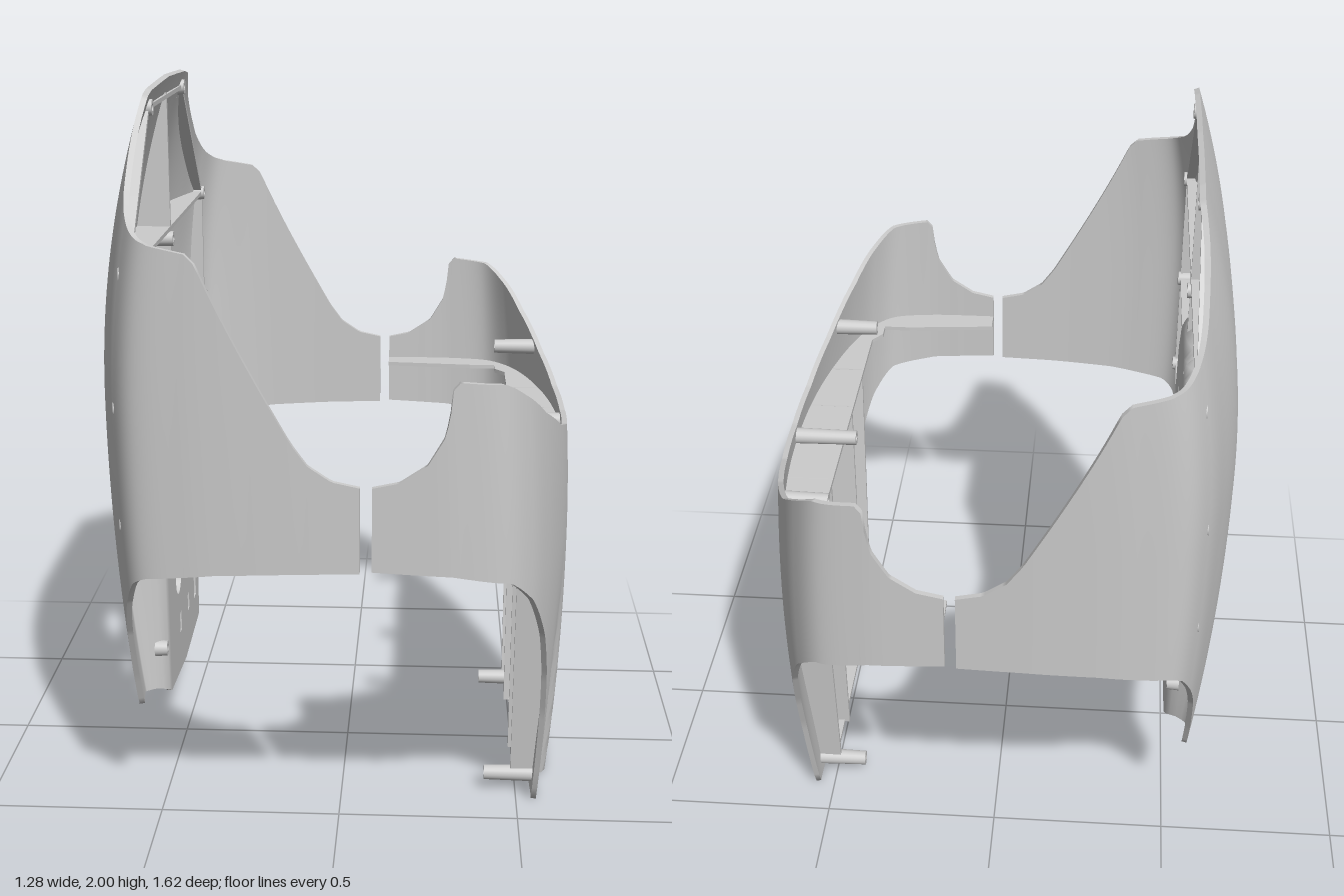
import * as THREE from 'three';
import { mergeGeometries } from 'three/addons/utils/BufferGeometryUtils.js';
import { ParametricGeometry } from 'three/addons/geometries/ParametricGeometry.js';

const WALL = 0.015;
const material = new THREE.MeshStandardMaterial({ color: 0xcccccc, side: THREE.DoubleSide });
const { clamp, lerp, smoothstep } = THREE.MathUtils;

// Straight-line lookup in a short table of [key, value] pairs
function table(pairs, k) {
  if (k <= pairs[0][0]) return pairs[0][1];
  for (let i = 1; i < pairs.length; i++) {
    const [a, va] = pairs[i - 1], [b, vb] = pairs[i];
    if (k <= b) return lerp(va, vb, (k - a) / (b - a));
  }
  return pairs[pairs.length - 1][1];
}

// Symmetric plan curve from a half outline of [x, z] points, centre first
function planCurve(half) {
  const left = half.map(([x, z]) => new THREE.Vector3(x, 0, z));
  const right = half.slice(1).reverse().map(([x, z]) => new THREE.Vector3(x, 0, -z));
  return new THREE.CatmullRomCurve3([...right, ...left]);
}

// A shell: plan curve, bulge by height, relief rule, and trims along z (face) and x (sides)
class Shell {
  constructor(o) {
    Object.assign(this, o);
    this.curve = planCurve(o.half);
    [this.mid] = o.half[0];
    [this.end] = o.half[o.half.length - 1];
  }
  point(t, y) {
    const c = this.curve.getPoint(clamp(t, 0, 1));
    const k = (this.bulge(y) - this.end) / (this.mid - this.end);
    c.x = this.relief(this.end + (c.x - this.end) * k, y, Math.abs(c.z));
    c.y = y;
    return c;
  }
  inner(t, y) {
    const e = 1e-3, t0 = Math.max(t - e, 0), t1 = Math.min(t + e, 1);
    const n = this.point(t, y + e).sub(this.point(t, y - e))
      .cross(this.point(t1, y).sub(this.point(t0, y))).normalize();
    return this.point(t, y).addScaledVector(n, -this.side * WALL);
  }
  trim(t, edge) {
    const c = this.curve.getPoint(clamp(t, 0, 1)), z = Math.abs(c.z);
    return z < this.corner ? table(edge.face, z) : table(edge.flank, c.x);
  }
  // Curve parameter and wall x at a given z on the face
  tAt(z) {
    let a = 0, b = 1;
    for (let i = 0; i < 40; i++) {
      const m = (a + b) / 2;
      if (this.curve.getPoint(m).z < z) a = m; else b = m;
    }
    return a;
  }
  xAt(z, y) { return this.point(this.tAt(z), y).x - this.side * WALL * 0.5; }
  // Thick wall between two curve parameters
  wall(t0, t1, cols, rows, bottom = t => this.trim(t, this.bottom)) {
    const at = (u, v) => {
      const t = lerp(t0, t1, u);
      return [t, lerp(bottom(t), this.trim(t, this.top), v)];
    };
    const sheet = (fn, a, b) => new ParametricGeometry((u, v, p) => p.copy(fn(u, v)), a, b);
    const out = (u, v) => this.point(...at(u, v)), inn = (u, v) => this.inner(...at(u, v));
    const parts = [sheet(out, cols, rows), sheet((u, v) => inn(1 - u, v), cols, rows)];
    for (const e of [0, 1]) {
      parts.push(sheet((u, v) => out(u, e).lerp(inn(u, e), v), cols, 1));
      parts.push(sheet((u, v) => out(e, u).lerp(inn(e, u), v), rows, 1));
    }
    return mergeGeometries(parts);
  }
  // Upright plate from the wall to plane xIn, along a line [z, y] to [z, y]
  rib([za, ya], [zb, yb], xIn, thick = 0.012) {
    const n = 20, len = Math.hypot(zb - za, yb - ya), pos = [], idx = [];
    const nz = -(yb - ya) / len * thick / 2, ny = (zb - za) / len * thick / 2;
    for (let i = 0; i <= n; i++) {
      const z = lerp(za, zb, i / n), y = lerp(ya, yb, i / n);
      const xw = this.xAt(z, y), xi = this.side > 0 ? Math.min(xw, xIn) : Math.max(xw, xIn);
      pos.push(xw, y + ny, z + nz, xi, y + ny, z + nz, xi, y - ny, z - nz, xw, y - ny, z - nz);
      if (i) for (let k = 0; k < 4; k++) {
        const a = i * 4 + k, b = i * 4 + (k + 1) % 4;
        idx.push(a - 4, a, b, a - 4, b, b - 4);
      }
    }
    idx.push(0, 1, 2, 0, 2, 3, n * 4, n * 4 + 2, n * 4 + 1, n * 4, n * 4 + 3, n * 4 + 2);
    const g = new THREE.BufferGeometry();
    g.setAttribute('position', new THREE.Float32BufferAttribute(pos, 3));
    g.setIndex(idx);
    const flat = g.toNonIndexed();
    flat.computeVertexNormals();
    return flat;
  }
  // Hollow screw post from the wall to xIn
  boss(z, y, xIn) {
    const h = Math.abs(this.xAt(z, y) - xIn);
    const ring = [[0.01, 0], [0.024, 0], [0.021, h], [0.01, h], [0.01, 0]];
    const parts = ring.slice(1).map((p, i) =>
      new THREE.LatheGeometry([ring[i], p].map(q => new THREE.Vector2(...q)), 20));
    return mergeGeometries(parts).rotateZ(this.side * Math.PI / 2).translate(xIn + this.side * h, y, z);
  }
}

const rear = new Shell({
  side: -1, corner: 0.77,
  half: [[-0.645, 0], [-0.643, 0.2], [-0.635, 0.38], [-0.6, 0.55], [-0.56, 0.68], [-0.505, 0.76],
    [-0.38, 0.793], [-0.2, 0.807], [-0.06, 0.81], [0.07, 0.81]],
  bulge: y => -0.645 + (y > 1.2 ? 0.21 : 0.08) * (y - 1.2) ** 2,
  // Arched recess down to the flat control panel
  relief: (x, y, z) => lerp(x, -0.51, 1 - smoothstep(Math.hypot(z / 0.38, Math.max(y - 1, 0) / 0.5), 0.78, 1)),
  top: {
    face: [[0, 2], [0.3, 1.99], [0.37, 1.98], [0.45, 1.9], [0.6, 1.77], [0.7, 1.7], [0.77, 1.665]],
    flank: [[-0.5, 1.665], [-0.38, 1.645], [-0.35, 1.62], [-0.1, 1.18], [-0.06, 1.125], [0, 1.085], [0.07, 1.07]],
  },
  bottom: {
    face: [[0.29, 0.27], [0.33, 0.3], [0.47, 0.31], [0.52, 0.42], [0.6, 0.58], [0.68, 0.7], [0.74, 0.78], [0.77, 0.805]],
    flank: [[-0.5, 0.805], [-0.3, 0.83], [-0.1, 0.84], [0.07, 0.845]],
  },
});

const front = new Shell({
  side: 1, corner: 0.775,
  half: [[0.64, 0], [0.632, 0.2], [0.605, 0.4], [0.555, 0.6], [0.505, 0.71], [0.44, 0.778],
    [0.32, 0.805], [0.21, 0.81], [0.1, 0.81]],
  bulge: y => 0.64 - (y > 0.75 ? 0.11 : 0.07) * (y - 0.75) ** 2,
  // Raised centre with soft creases fading upward
  relief: (x, y, z) => {
    const g = 0.21 + 0.14 * y;
    return x - 0.03 * smoothstep(z, g, g + 0.04) * (1 - 0.6 * smoothstep(z, g + 0.04, g + 0.2)) *
      (1 - smoothstep(y, 0.1, 0.8));
  },
  top: {
    face: [[0, 1.05], [0.2, 1.065], [0.4, 1.12], [0.6, 1.21], [0.72, 1.29], [0.775, 1.33]],
    flank: [[0.1, 1.07], [0.17, 1.085], [0.24, 1.13], [0.285, 1.2], [0.3, 1.25], [0.31, 1.32], [0.33, 1.34], [0.44, 1.33]],
  },
  bottom: {
    face: [[0, 0], [0.385, 0], [0.4, 0.04], [0.47, 0.3], [0.53, 0.46], [0.6, 0.6], [0.7, 0.74], [0.775, 0.815]],
    flank: [[0.1, 0.85], [0.3, 0.84], [0.44, 0.815]],
  },
});

// Flat panel with cut-outs, drawn in z and y
function controlPanel() {
  const s = new THREE.Shape([[-0.29, 0.27], [0, 0.245], [0.29, 0.27], [0.29, 0.95], [0.12, 0.95], [0.12, 1.2],
    [-0.12, 1.2], [-0.12, 0.95], [-0.29, 0.95]].map(p => new THREE.Vector2(...p)));
  const rects = [[0, 1.07, 0.18, 0.22], [-0.155, 0.735, 0.25, 0.15], [-0.21, 0.4, 0.04, 0.08],
    [-0.07, 0.4, 0.03, 0.05], [0.09, 0.4, 0.03, 0.06]];
  for (const [z, y, w, h] of rects) s.holes.push(new THREE.Path([[-1, -1], [-1, 1], [1, 1], [1, -1]]
    .map(([a, b]) => new THREE.Vector2(z + a * w / 2, y + b * h / 2))));
  for (const [z, y, r] of [[-0.19, 0.54, 0.075], [0.11, 0.55, 0.05]])
    s.holes.push(new THREE.Path().absarc(z, y, r, 0, Math.PI * 2, true));
  // Round opening with a notch on top
  const key = new THREE.Path().absarc(0.11, 0.74, 0.06, Math.PI * 0.35, Math.PI * 0.65, true);
  key.lineTo(0.083, 0.84);
  key.lineTo(0.137, 0.84);
  s.holes.push(key);
  return new THREE.ExtrudeGeometry(s, { depth: WALL, bevelEnabled: false, curveSegments: 24 })
    .rotateY(-Math.PI / 2).translate(-0.495, 0, 0);
}

// Level stiffening shelf following the inside of the front shell
function shelf(y) {
  const outer = Array.from({ length: 81 }, (_, i) => front.inner(i / 80, y)).map(p => [p.x, p.z]);
  const step = [[0.1, 0.725], [0.37, 0.7], [0.45, 0.7], [0.45, 0.65], [0.48, 0.61]];
  const inner = [...step, ...step.map(([x, z]) => [x, -z]).reverse()];
  const s = new THREE.Shape([...outer, ...inner].map(p => new THREE.Vector2(...p)));
  return new THREE.ExtrudeGeometry(s, { depth: 0.012, bevelEnabled: false }).rotateX(Math.PI / 2).translate(0, y, 0);
}

export function createModel() {
  const model = new THREE.Group();
  const add = (group, name, geometry) => {
    const m = new THREE.Mesh(geometry, material);
    m.name = name;
    group.add(m);
  };
  const [back, apron] = ['rearShell', 'frontShell'].map(name => {
    const g = new THREE.Group();
    g.name = name;
    model.add(g);
    return g;
  });

  // Rear wall in strips around the panel
  const [a, b, c, d] = [-0.29, -0.12, 0.12, 0.29].map(z => rear.tAt(z));
  add(back, 'rearWall', mergeGeometries([
    rear.wall(0, a, 90, 50), rear.wall(d, 1, 90, 50),
    rear.wall(a, b, 12, 40, () => 0.95), rear.wall(c, d, 12, 40, () => 0.95),
    rear.wall(b, c, 16, 32, () => 1.2),
  ]));
  add(back, 'controlPanel', controlPanel());
  const ribs = [[[-0.67, 1.57], [0.67, 1.57]], [[-0.67, 1.23], [0.67, 1.23]], [[0, 1.23], [0, 1.95]], [[-0.3, 1.94], [0.3, 1.94]]];
  for (const s of [-1, 1]) ribs.push([[s * 0.67, 0.92], [s * 0.67, 1.57]], [[s * 0.67, 1.57], [s * 0.3, 1.94]],
    [[s * 0.67, 0.92], [s * 0.3, 0.92]]);
  for (const [p, q] of ribs) add(back, 'rearRib', rear.rib(p, q, -0.505));
  const posts = [[0, 1.54], [0, 0.88]];
  for (const s of [-1, 1]) posts.push([s * 0.295, 1.94], [s * 0.67, 1.57], [s * 0.67, 1.23], [s * 0.67, 0.92], [s * 0.33, 0.42]);
  for (const [z, y] of posts) add(back, 'rearScrewPost', rear.boss(z, y, y < 0.9 && z === 0 ? -0.47 : -0.497));

  // Front apron with shelf, ribs and screw posts
  add(apron, 'frontWall', front.wall(0, 1, 200, 60));
  add(apron, 'frontShelf', shelf(1));
  add(apron, 'frontRib', front.rib([-0.33, 0.05], [0.33, 0.05], 0.5));
  for (const s of [-1, 1]) {
    add(apron, 'frontRib', front.rib([s * 0.33, 0.05], [s * 0.42, 1], 0.485));
    add(apron, 'frontRib', front.rib([s * 0.16, 0.05], [s * 0.2, 1], 0.485));
    add(apron, 'frontScrewPost', front.boss(s * 0.475, 1.12, 0.44));
    add(apron, 'frontScrewPost', front.boss(s * 0.325, 0.05, 0.41));
  }
  add(apron, 'frontScrewPost', front.boss(0, 1.015, 0.44));
  return model;
}
